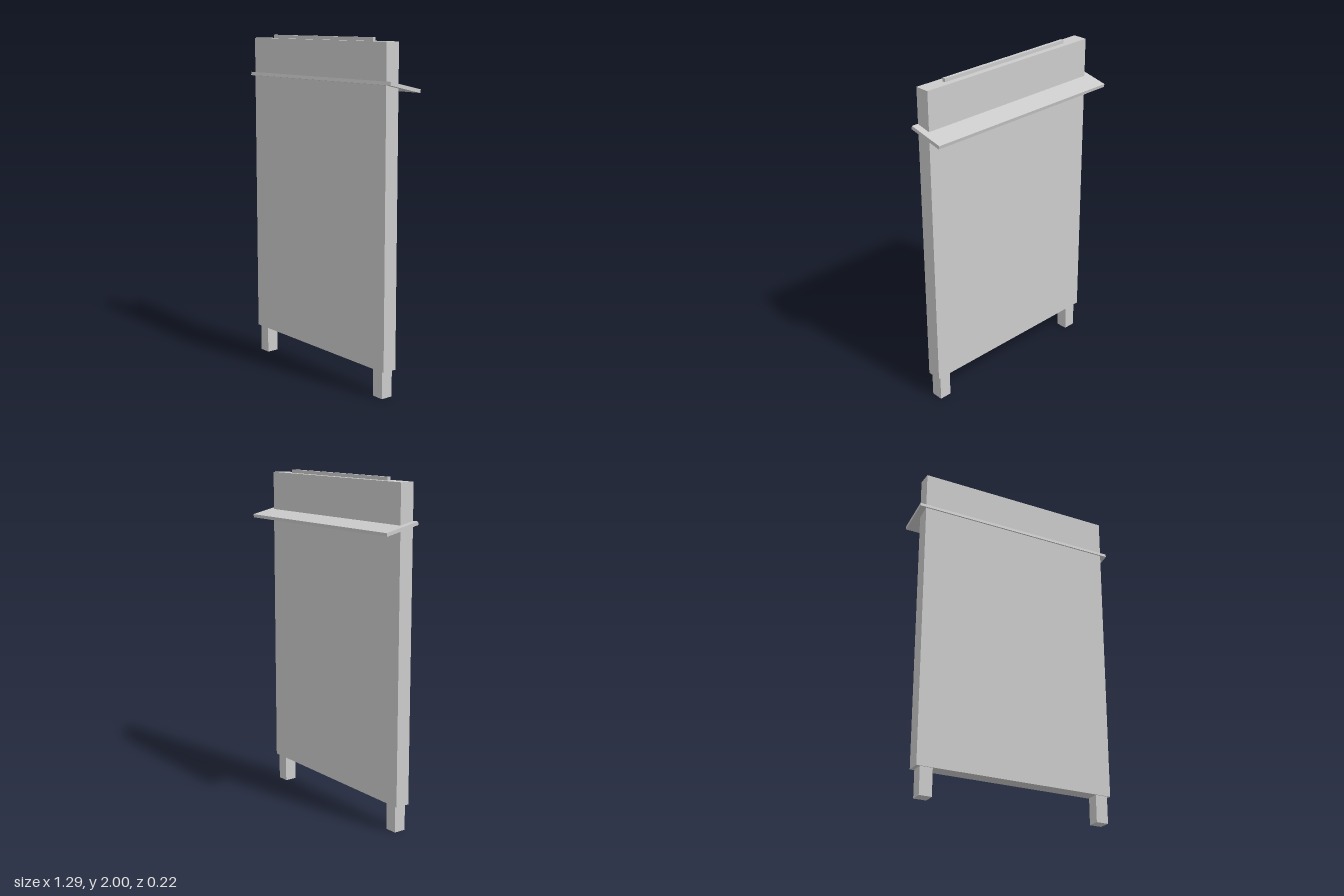
import * as THREE from 'three';

export function createModel() {
  const group = new THREE.Group();
  const material = new THREE.MeshStandardMaterial({ color: 0xcccccc });

  // Box given by its centre and size
  const addBox = (name, [x, y, z], [w, h, d]) => {
    const mesh = new THREE.Mesh(new THREE.BoxGeometry(w, h, d), material);
    mesh.name = name;
    mesh.position.set(x, y, z);
    group.add(mesh);
    return mesh;
  };

  // Upright board with a thin strip along its top edge
  addBox('panel', [-0.002, 1.07, 0.06], [1.21, 1.82, 0.088]);
  addBox('topStrip', [-0.001, 1.985, 0.06], [0.908, 0.03, 0.02]);

  // Shelf passing through the board, sloping down to the back
  const shelf = addBox('slopedShelf', [-0.001, 1.738, 0], [1.288, 0.02, 0.222]);
  shelf.rotation.x = -THREE.MathUtils.degToRad(12.6);

  // Two short square legs
  for (const [name, side] of [['leftLeg', 1], ['rightLeg', -1]]) {
    addBox(name, [side * 0.547, 0.085, 0.062], [0.075, 0.16, 0.073]).position.y = 0.0825;
    group.children.at(-1).scale.y = 0.165 / 0.16;
  }
  return group;
}
